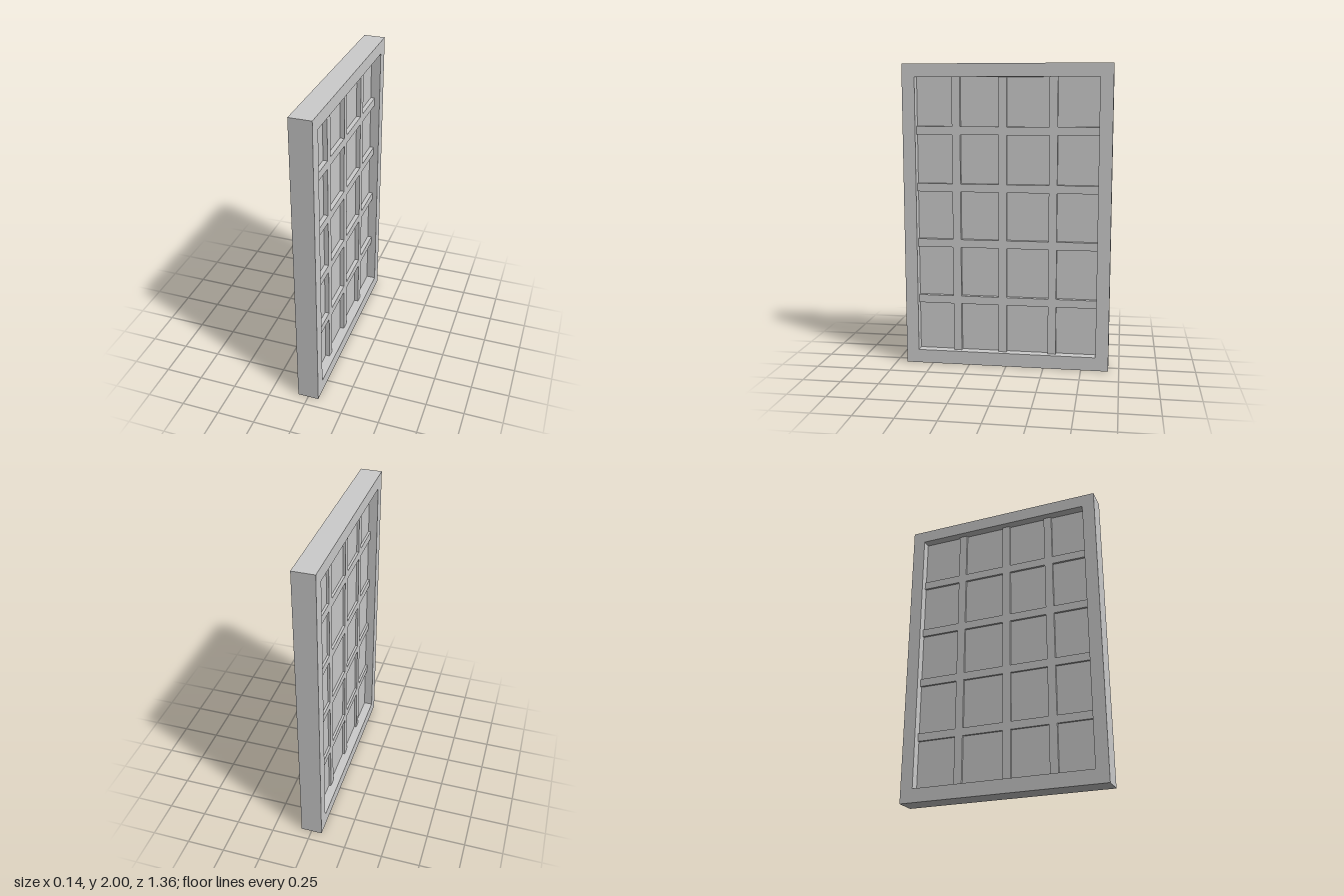
import * as THREE from 'three';

const material = new THREE.MeshStandardMaterial({ color: 0xcccccc, flatShading: true, side: THREE.DoubleSide });

// Traces a rectangle on a Shape or Path; u runs along -z, v along y
function rect(path, u0, u1, v0, v1) {
  path.moveTo(u0, v0);
  path.lineTo(u1, v0);
  path.lineTo(u1, v1);
  path.lineTo(u0, v1);
  path.closePath();
  return path;
}

// Flat slab with rectangular holes, spanning x0..x1 in thickness
function slab(name, outer, holes, x0, x1) {
  const shape = rect(new THREE.Shape(), ...outer);
  for (const hole of holes) shape.holes.push(rect(new THREE.Path(), ...hole));
  const geometry = new THREE.ExtrudeGeometry(shape, { depth: x1 - x0, bevelEnabled: false });
  geometry.translate(0, 0, x0);
  geometry.rotateY(Math.PI / 2);
  const mesh = new THREE.Mesh(geometry, material);
  mesh.name = name;
  return mesh;
}

export function createModel() {
  const group = new THREE.Group();
  group.name = 'window';

  const opening = [-0.597, 0.595, 0.09, 1.915];
  const tucked = [-0.63, 0.63, 0.05, 1.95]; // edges hidden inside the frame

  // Outer frame
  group.add(slab('frame', [-0.68, 0.68, 0, 2], [opening], -0.07, 0.07));

  // Clear spans between the glazing bars
  const columns = [[opening[0], -0.36], [-0.306, -0.054], [0, 0.276], [0.33, opening[1]]];
  const rows = [[opening[2], 0.413], [0.466, 0.798], [0.851, 1.17], [1.223, 1.544], [1.598, opening[3]]];
  const cells = columns.flatMap((c) => rows.map((r) => [...c, ...r]));

  // Lattice of glazing bars, standing proud of the pane on both faces
  group.add(slab('glazingBars', tucked, cells, -0.027, 0.036));

  // Pane
  group.add(slab('pane', tucked, [], -0.012, 0.008));

  return group;
}
